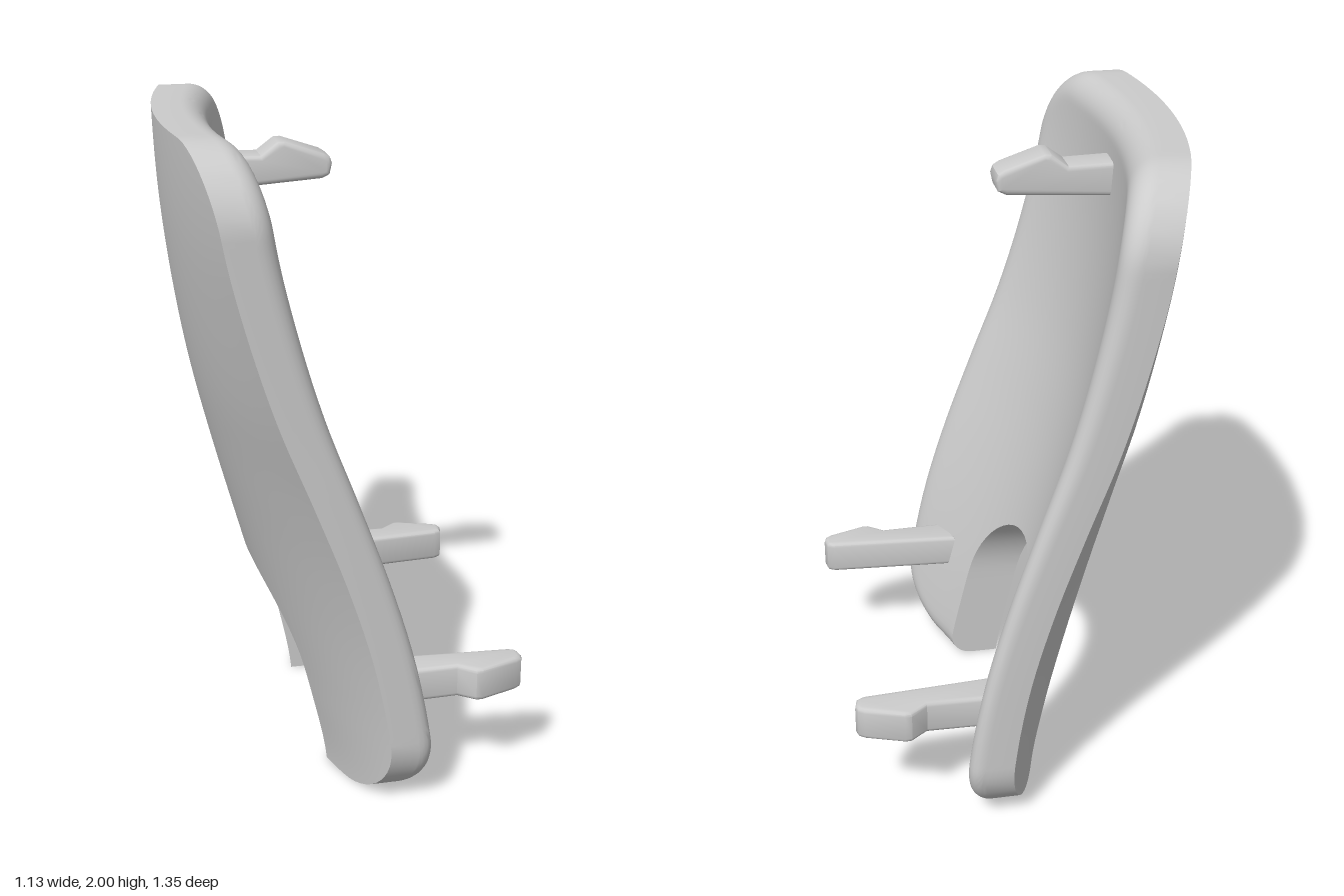
import * as THREE from 'three';
import { mergeVertices, toCreasedNormals } from 'three/addons/utils/BufferGeometryUtils.js';

// Local frame: x = depth (clips point to +x), y = up, z = width
const HALF = 0.626, CORNER = 0.23, NOTCH = 0.291, SPRING = 0.34;
const THICK = 0.165, FILLET = 0.08, MID = -0.043;
const material = new THREE.MeshStandardMaterial({ color: 0xcccccc, side: THREE.DoubleSide });

// Depth of the centre line and strength of the sideways curve, at even heights from 0 to 2
const bend = new THREE.SplineCurve([
  [-0.135, 0.46], [-0.19, 0.55], [-0.258, 0.61], [-0.325, 0.6], [-0.39, 0.54],
  [-0.448, 0.45], [-0.49, 0.37], [-0.518, 0.3], [-0.53, 0.26],
].map(([n, k]) => new THREE.Vector2(n, k)));

function outerDepth(d, y) {
  const b = bend.getPoint(Math.min(1, Math.max(0, y / 2)));
  return b.x + b.y * d * d + (0.012 - 0.028 * y) * d;
}

// Distance inwards from the rounded rectangular outline
function inset(d, y) {
  const qx = Math.abs(d) - HALF + CORNER, qy = Math.abs(y - 1) - 1 + CORNER;
  const out = Math.hypot(Math.max(qx, 0), Math.max(qy, 0));
  return Math.max(0, CORNER - out - Math.min(Math.max(qx, qy), 0));
}

function innerDepth(d, y) {
  const s = Math.max(0, FILLET - inset(d, y));
  return outerDepth(d, y) + THICK - FILLET + Math.sqrt(Math.max(0, FILLET * FILLET - s * s));
}

// How far the rounded corner cuts into the height at width d
function cornerCut(d) {
  const a = Math.max(0, Math.abs(d) - HALF + CORNER);
  return CORNER - Math.sqrt(Math.max(0, CORNER * CORNER - a * a));
}

function panelGeometry() {
  const pts = [], ids = new Map(), quads = [];
  const id = (d, y) => {
    const key = d.toFixed(5) + ',' + y.toFixed(5);
    if (!ids.has(key)) { ids.set(key, pts.length); pts.push([d, y]); }
    return ids.get(key);
  };
  const block = (cols, rows, yAt) => {
    for (let i = 0; i + 1 < cols.length; i++) {
      for (let j = 0; j < rows; j++) {
        const at = (a, b) => id(cols[a], yAt(cols[a], b / rows));
        quads.push([at(i, j), at(i, j + 1), at(i + 1, j + 1), at(i + 1, j)]);
      }
    }
  };
  // Columns crowd towards the rounded edges and the sides of the notch
  const leg = [], mid = [];
  for (let i = 0; i <= 16; i++) leg.push(NOTCH + (HALF - NOTCH) * Math.sin(i / 16 * Math.PI / 2));
  for (let i = 1; i < 24; i++) mid.push(NOTCH * Math.sin((i / 12 - 1) * Math.PI / 2));
  const mirrored = leg.map(d => -d).reverse();

  // Main sheet above the spring line of the notch, then the two legs
  block([...mirrored, ...mid, ...leg], 48, (d, s) => {
    const bottom = SPRING + Math.sqrt(Math.max(0, NOTCH * NOTCH - d * d));
    const top = 2 - cornerCut(d);
    return top - (top - bottom) * (1 - s) ** 2;
  });
  for (const cols of [mirrored, leg]) {
    block(cols, 16, (d, s) => cornerCut(d) + (SPRING - cornerCut(d)) * s * s);
  }

  // Inner and outer skins, and a wall along every open edge
  const n = pts.length, position = [], index = [];
  for (const [d, y] of pts) position.push(innerDepth(d, y), y, d);
  for (const [d, y] of pts) position.push(outerDepth(d, y), y, d);
  const face = (a, b, c, e) => index.push(a, b, c, a, c, e);
  const edges = new Set();
  for (const q of quads) q.forEach((p, i) => edges.add(p + '>' + q[(i + 1) % 4]));
  for (const q of quads) {
    const [a, b, c, e] = q;
    face(a, b, c, e);
    face(e + n, c + n, b + n, a + n);
    q.forEach((p, i) => {
      const r = q[(i + 1) % 4];
      if (p !== r && !edges.has(r + '>' + p)) face(r, p, p + n, r + n);
    });
  }
  const geometry = new THREE.BufferGeometry();
  geometry.setAttribute('position', new THREE.Float32BufferAttribute(position, 3));
  geometry.setIndex(index);
  return toCreasedNormals(mergeVertices(geometry, 1e-5), 0.6);
}

// Bar with a raised catch near its tip
function clipGeometry() {
  const bevel = 0.014, width = 0.108;
  const shape = new THREE.Shape([
    [0.03, -0.05], [0.445, -0.023], [0.467, -0.012], [0.474, 0.02], [0.468, 0.038],
    [0.45, 0.05], [0.335, 0.089], [0.315, 0.088], [0.265, 0.051], [0.03, 0.057],
  ].map(([x, y]) => new THREE.Vector2(x, y)));
  const geometry = new THREE.ExtrudeGeometry(shape, {
    depth: width - 2 * bevel, bevelThickness: bevel, bevelSize: bevel,
    bevelOffset: -bevel, bevelSegments: 3,
  });
  geometry.translate(0, 0, bevel - width / 2);
  return toCreasedNormals(geometry, 0.6);
}

export function createModel() {
  const model = new THREE.Group();
  model.name = 'curvedCoverPanel';
  const add = (name, geometry) => {
    const mesh = new THREE.Mesh(geometry, material);
    mesh.name = name;
    model.add(mesh);
    return mesh;
  };
  add('panel', panelGeometry()).position.z = MID;

  const clip = clipGeometry();
  add('topClip', clip).position.set(-0.495, 1.815, MID);
  for (const side of [1, -1]) {
    const lower = add(side > 0 ? 'lowerLeftClip' : 'lowerRightClip', clip);
    lower.position.set(0, 0.35, MID + side * 0.45);
    lower.rotation.x = side * Math.PI / 2;
  }
  // The whole part is turned slightly about the vertical
  model.rotation.y = 0.257;
  const root = new THREE.Group();
  root.name = 'coverPanel';
  root.add(model);
  return root;
}
